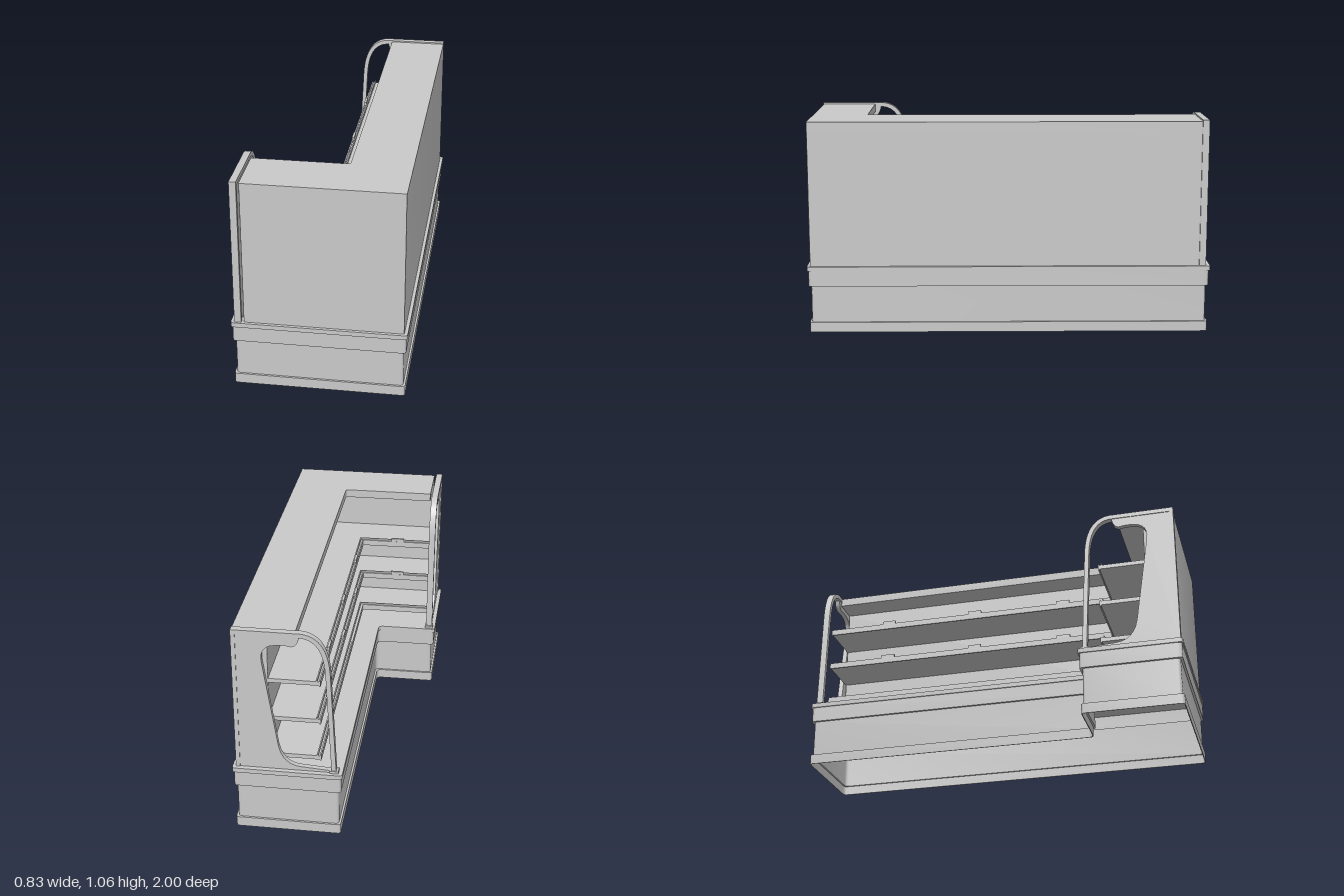
import * as THREE from 'three';
import { toCreasedNormals } from 'three/addons/utils/BufferGeometryUtils.js';

const grey = new THREE.MeshStandardMaterial({ color: 0xcacaca });
grey.name = 'lightGrey';

function add(parent, name, geometry, x = 0, y = 0, z = 0) {
  const mesh = new THREE.Mesh(geometry, grey);
  mesh.name = name;
  mesh.position.set(x, y, z);
  parent.add(mesh);
  return mesh;
}

// Closed outline with rounded corners; each corner is [a, b, radius]
function rounded(corners, Kind = THREE.Shape) {
  const path = new Kind();
  const n = corners.length;
  corners.forEach(([a, b, r], i) => {
    const p = new THREE.Vector2(a, b);
    const towards = (q) => p.clone().add(new THREE.Vector2(q[0] - a, q[1] - b).setLength(r));
    const start = towards(corners[(i + n - 1) % n]);
    const end = towards(corners[(i + 1) % n]);
    if (i === 0) path.moveTo(start.x, start.y);
    else path.lineTo(start.x, start.y);
    if (r > 0) path.quadraticCurveTo(a, b, end.x, end.y);
  });
  path.closePath();
  return path;
}

const extrude = (shape, depth) => toCreasedNormals(
  new THREE.ExtrudeGeometry(shape, { depth, bevelEnabled: false, curveSegments: 6 }), 0.6);

// L-shaped plan, counter-clockwise: inner and outer edges of both arms, plus their free ends
function plan({ xi, zi, xo, zo, xEnd, zEnd, r = 0, ri = 0 }, Kind) {
  return rounded([
    [xEnd, -zo, r], [xo, -zo, r], [xo, -zEnd, r],
    [xi, -zEnd, r], [xi, -zi, ri], [xEnd, -zi, r],
  ], Kind);
}

// L-shaped slab from y0 to y1, optionally hollow
function slab(parent, name, edges, y0, y1, hollow) {
  const shape = plan(edges);
  if (hollow) shape.holes.push(plan(hollow, THREE.Path));
  return add(parent, name, extrude(shape, y1 - y0).rotateX(-Math.PI / 2), 0, y0, 0);
}

// Plan of the base grown outwards by d
const basePlan = (d) => ({
  xi: -0.087 - d, zi: 0.51 - d, xo: 0.398 + d, zo: 0.982 + d,
  xEnd: -0.398 - d, zEnd: -0.982 - d, r: 0.018, ri: 0.025,
});

// Side frame: u runs from the open front edge to the back
function endFrame(name) {
  const group = new THREE.Group();
  group.name = name;

  // Panel with a swept window opening
  const s = new THREE.Shape();
  s.moveTo(0.04, 0.335);
  s.lineTo(0.49, 0.335);
  s.lineTo(0.49, 1.05);
  s.lineTo(0.2, 1.05);
  s.lineTo(0.19, 1.035);
  s.quadraticCurveTo(0.2, 0.985, 0.235, 0.99);
  s.quadraticCurveTo(0.25, 0.997, 0.3, 0.993);
  s.quadraticCurveTo(0.375, 0.985, 0.362, 0.9);
  s.lineTo(0.295, 0.46);
  s.quadraticCurveTo(0.275, 0.36, 0.19, 0.355);
  s.lineTo(0.04, 0.345);
  add(group, 'windowPanel', extrude(s, 0.025), 0, 0, 0.004);

  // Bent rail: post, bend and top bar
  const path = new THREE.Path();
  path.moveTo(0.035, 0.335);
  path.lineTo(0.06, 0.86);
  path.bezierCurveTo(0.066, 0.97, 0.1, 1.043, 0.18, 1.05);
  path.lineTo(0.5, 1.05);
  const pts = path.getPoints(14);
  const side = (w) => pts.map((p, i) => {
    const t = pts[Math.min(i + 1, pts.length - 1)].clone().sub(pts[Math.max(i - 1, 0)]).normalize();
    return new THREE.Vector2(p.x - t.y * w, p.y + t.x * w);
  });
  const band = new THREE.Shape([...side(0.011), ...side(-0.011).reverse()]);
  add(group, 'bentRail', extrude(band, 0.033));
  add(group, 'backEdge', new THREE.BoxGeometry(0.02, 0.706, 0.033), 0.49, 0.688, 0.0165);
  add(group, 'postFoot', new THREE.BoxGeometry(0.042, 0.012, 0.042), 0.035, 0.341, 0.0165);
  return group;
}

export function createModel() {
  const model = new THREE.Group();
  model.name = 'cornerDisplayCabinet';

  // Base: a thin stepped shell, open below and closed by the deck
  for (const [name, outer, inner, y0, y1] of [
    ['kickPlate', 0.01, 0.006, 0, 0.046],
    ['kickLedge', 0.01, -0.003, 0.046, 0.05],
    ['plinth', 0, -0.003, 0.05, 0.235],
    ['beltLedge', 0.012, -0.003, 0.235, 0.239],
    ['belt', 0.012, 0.008, 0.239, 0.312],
  ]) slab(model, name, basePlan(outer), y0, y1, basePlan(inner));
  slab(model, 'deck', basePlan(0.018), 0.312, 0.335);

  // Back walls and the overhanging top
  const body = { xo: 0.4, zo: 0.985, xEnd: -0.355, zEnd: -0.947, r: 0.005 };
  slab(model, 'backWall', { ...body, xi: 0.24, zi: 0.83 }, 0.335, 1.012);
  slab(model, 'canopy', { ...body, xi: 0.11, zi: 0.71, ri: 0.015 }, 1.012, 1.054);

  // Shelves with a grooved price rail; the upper two carry small tag holders
  const shelf = { xEnd: -0.362, zEnd: -0.947, ri: 0.012 };
  for (const y of [0.4, 0.6, 0.8]) {
    const group = new THREE.Group();
    group.name = 'shelf';
    model.add(group);
    slab(group, 'shelfBoard', { ...shelf, xi: 0.005, zi: 0.605, xo: 0.245, zo: 0.835 }, y - 0.017, y + 0.004);
    slab(group, 'railFront', { ...shelf, xi: -0.001, zi: 0.599, xo: 0.006, zo: 0.606 }, y - 0.022, y + 0.008);
    slab(group, 'railBack', { ...shelf, xi: 0.013, zi: 0.613, xo: 0.019, zo: 0.619 }, y, y + 0.014);
    if (y < 0.5) continue;
    for (const z of [0.34, -0.14, -0.62]) {
      add(group, 'tagHolder', new THREE.BoxGeometry(0.012, 0.024, 0.07), 0.006, y + 0.012, z);
    }
    add(group, 'tagHolder', new THREE.BoxGeometry(0.07, 0.024, 0.012), -0.19, y + 0.012, 0.606);
  }

  // End frames on the two free ends
  const rear = endFrame('rearEndFrame');
  rear.position.set(-0.1, 0, -0.98);
  const right = endFrame('rightEndFrame');
  right.rotation.y = -Math.PI / 2;
  right.position.set(-0.366, 0, 0.49);
  model.add(rear, right);
  return model;
}
